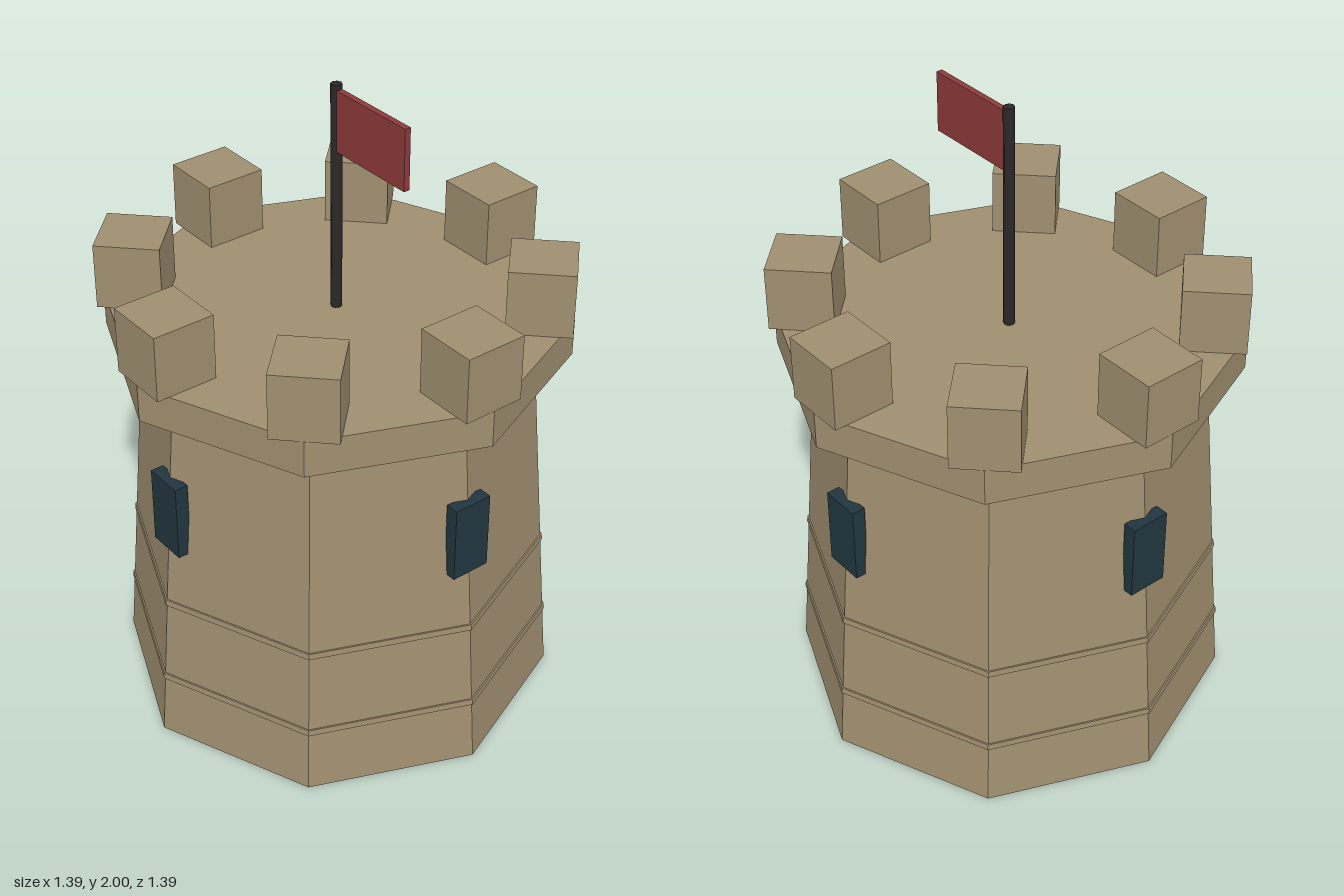
import * as THREE from 'three';

const mat = (name, color) => {
  const m = new THREE.MeshStandardMaterial({ color });
  m.name = name;
  return m;
};

export function createModel() {
  const stone = mat('sandstone', 0xa08f70);
  const shutter = mat('dark slate blue', 0x22363f);
  const iron = mat('dark iron', 0x2c282a);
  const cloth = mat('red cloth', 0x8e3a3a);
  // flat-sided octagonal masonry
  stone.flatShading = true;

  const tower = new THREE.Group();
  tower.name = 'tower';

  const add = (name, geometry, material, x, y, z, turn = 0) => {
    const mesh = new THREE.Mesh(geometry, material);
    mesh.name = name;
    mesh.position.set(x, y, z);
    mesh.rotation.y = turn;
    tower.add(mesh);
    return mesh;
  };

  // octagonal drum between two heights, a corner facing the front
  const drum = (name, y0, y1, r0, r1) =>
    add(name, new THREE.CylinderGeometry(r1, r0, y1 - y0, 8), stone, 0, (y0 + y1) / 2, 0);

  // tapered wall with two thin stone courses
  const wallRadius = (y) => 0.68 - 0.08 * y;
  drum('wall', 0, 1.18, wallRadius(0), wallRadius(1.18));
  for (const y of [0.2, 0.48]) {
    drum('stoneCourse', y, y + 0.02, wallRadius(y) + 0.005, wallRadius(y + 0.02) + 0.005);
  }

  // overhanging platform
  drum('platform', 1.175, 1.29, 0.695, 0.695);

  // battlements, one over each corner
  const merlon = new THREE.BoxGeometry(0.195, 0.205, 0.195);
  for (let i = 0; i < 8; i++) {
    const a = (i * Math.PI) / 4;
    add('merlon', merlon, stone, Math.sin(a) * 0.595, 1.3925, Math.cos(a) * 0.595, a);
  }

  // windows on the four main corners
  const pane = new THREE.BoxGeometry(0.125, 0.245, 0.042);
  for (let i = 0; i < 4; i++) {
    const a = (i * Math.PI) / 2;
    add('window', pane, shutter, Math.sin(a) * 0.609, 0.815, Math.cos(a) * 0.609, a);
  }

  // flagpole and flag
  add('flagpole', new THREE.CylinderGeometry(0.017, 0.017, 0.72, 8), iron, 0, 1.64, 0);
  add('flag', new THREE.BoxGeometry(0.295, 0.187, 0.019), cloth, 0.1595, 1.892, 0);

  return tower;
}
